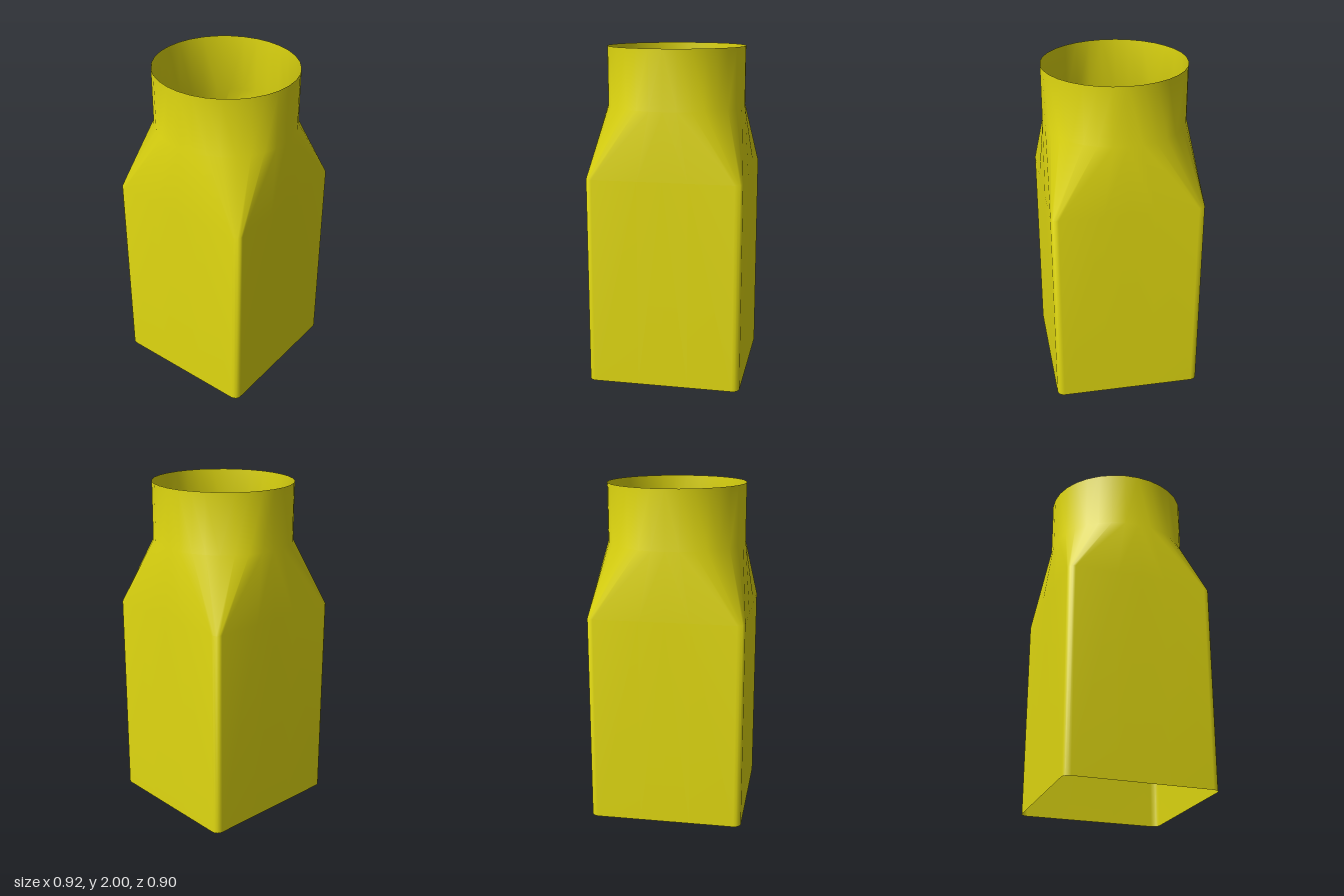
import * as THREE from 'three';

const SIDES = 32;

// Round outlet ring, starting at +z and turning towards +x
function circleRing(y) {
  return Array.from({ length: SIDES }, (_, i) => {
    const a = (i / SIDES) * Math.PI * 2;
    return [0.415 * Math.sin(a), y, 0.005 + 0.425 * Math.cos(a)];
  });
}

// Rounded square ring: each quarter holds a side centre, a side point,
// five corner arc points and a point on the next side
function squareRing(y) {
  const hx = 0.46, hz = 0.448, r = 0.042, s = 0.15;
  const quarter = [[0, hz], [s, hz]];
  for (let k = 0; k < 5; k++) {
    const a = (k / 4) * Math.PI / 2;
    quarter.push([hx - r + r * Math.sin(a), hz - r + r * Math.cos(a)]);
  }
  quarter.push([hx, s], [hx, 0]);
  return Array.from({ length: SIDES }, (_, i) => {
    const q = Math.floor(i / 8), k = i % 8;
    const [x, z] = quarter[q % 2 ? 8 - k : k];
    const sx = q < 2 ? 1 : -1, sz = q === 0 || q === 3 ? 1 : -1;
    return [x * sx, y, z * sz];
  });
}

// Skin the rings, mirroring the quad diagonals about each corner
function loft(rings) {
  const index = [];
  for (let j = 0; j < rings.length - 1; j++) {
    for (let i = 0; i < SIDES; i++) {
      const n = (i + 1) % SIDES;
      const a = j * SIDES + i, b = j * SIDES + n, c = b + SIDES, d = a + SIDES;
      if (i % 8 < 4) index.push(a, b, d, b, c, d);
      else index.push(a, b, c, a, c, d);
    }
  }
  const geometry = new THREE.BufferGeometry();
  geometry.setAttribute('position', new THREE.Float32BufferAttribute(rings.flat(2), 3));
  geometry.setIndex(index);
  geometry.computeVertexNormals();
  return geometry;
}

export function createModel() {
  const group = new THREE.Group();
  group.name = 'squareToRoundDuct';
  const material = new THREE.MeshStandardMaterial({ color: 0xe0d810, side: THREE.DoubleSide });

  // Open sheet: square duct, transition, round collar
  const duct = new THREE.Mesh(
    loft([squareRing(0), squareRing(1.25), circleRing(1.65), circleRing(2)]),
    material
  );
  duct.name = 'ductShell';
  group.add(duct);
  return group;
}
